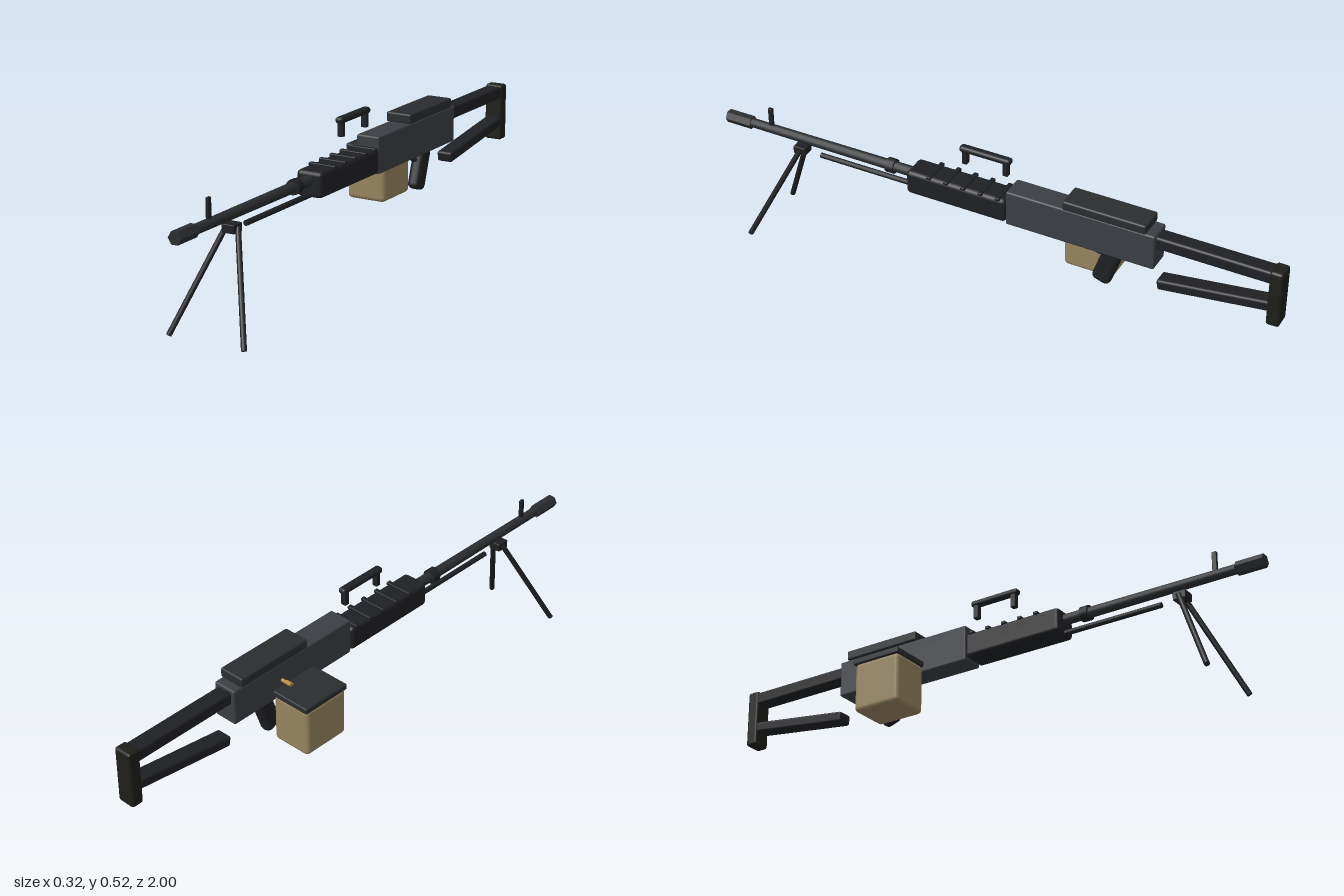
import * as THREE from 'three';
import { RoundedBoxGeometry } from 'three/addons/geometries/RoundedBoxGeometry.js';

const CX = 0.02; // centre line of the main body
const mat = (color) => new THREE.MeshStandardMaterial({ color });
const steel = mat(0x3a3e42), dark = mat(0x1f2023), cover = mat(0x2a2c2f);
const rubber = mat(0x1d1d19), canvas = mat(0x94835f), brass = mat(0xb38a3a);

export function createModel() {
  const model = new THREE.Group();

  const add = (name, geometry, material, x, y, z) => {
    const mesh = new THREE.Mesh(geometry, material);
    mesh.name = name;
    mesh.position.set(x, y, z);
    model.add(mesh);
    return mesh;
  };
  // Rounded box given by its centre x, width, and y and z ranges
  const block = (name, material, x, w, y0, y1, z0, z1, r = 0.006) =>
    add(name, new RoundedBoxGeometry(w, y1 - y0, z1 - z0, 2, r), material,
      x, (y0 + y1) / 2, (z0 + z1) / 2);
  // Straight rod between two points
  const rod = (name, material, a, b, ra, rb = ra, sides = 12) => {
    const from = new THREE.Vector3(...a), to = new THREE.Vector3(...b);
    const dir = to.clone().sub(from);
    const mid = from.clone().add(to).multiplyScalar(0.5);
    const mesh = add(name, new THREE.CylinderGeometry(rb, ra, dir.length(), sides),
      material, mid.x, mid.y, mid.z);
    mesh.quaternion.setFromUnitVectors(new THREE.Vector3(0, 1, 0), dir.normalize());
    return mesh;
  };

  // Main body and feed cover
  block('receiver', steel, CX, 0.083, 0.3, 0.425, -0.585, -0.07);
  block('topCover', cover, CX, 0.092, 0.425, 0.458, -0.555, -0.27);

  // Handguard with cross ribs
  block('handguard', dark, CX, 0.092, 0.305, 0.39, -0.07, 0.29, 0.014);
  for (let i = 0; i < 5; i++) {
    const z = 0.205 - i * 0.062;
    block('handguardRib', dark, CX, 0.098, 0.384, 0.395, z - 0.008, z + 0.008, 0.003);
  }

  // Barrel, collar, muzzle, front sight and gas tube
  rod('barrel', cover, [CX, 0.36, 0.28], [CX, 0.36, 0.92], 0.018, 0.016);
  rod('barrelCollar', dark, [CX, 0.36, 0.353], [CX, 0.36, 0.382], 0.025);
  const muzzle = add('muzzle', new THREE.CylinderGeometry(0.0225, 0.0225, 0.095, 6),
    cover, CX, 0.36, 0.9525);
  muzzle.material = cover.clone();
  muzzle.material.flatShading = true;
  muzzle.rotation.set(Math.PI / 2, Math.PI / 6, 0);
  block('frontSight', dark, CX, 0.011, 0.365, 0.44, 0.822, 0.838, 0.002);
  rod('gasTube', dark, [CX, 0.313, 0.28], [CX, 0.313, 0.64], 0.009);

  // Bipod
  block('bipodMount', dark, CX, 0.044, 0.305, 0.333, 0.69, 0.735, 0.003);
  for (const s of [-1, 1])
    rod('bipodLeg', dark, [CX + s * 0.02, 0.322, 0.71], [CX + s * 0.133, 0.004, 0.856], 0.009);

  // Carrying handle
  block('carryHandle', dark, CX, 0.028, 0.502, 0.523, -0.07, 0.112, 0.009);
  for (const z of [0.094, -0.052])
    block('handlePost', dark, CX, 0.021, 0.458, 0.508, z - 0.009, z + 0.009, 0.003);

  // Skeleton stock
  block('stockUpperBar', dark, CX, 0.056, 0.371, 0.415, -0.97, -0.57, 0.008);
  const strut = block('stockLowerBar', dark, CX, 0.056, 0.243, 0.279, -0.97, -0.59, 0.008);
  strut.rotation.x = 0.135;
  block('buttPlate', rubber, CX, 0.064, 0.22, 0.42, -1, -0.956, 0.009);

  // Pistol grip, trigger and guard
  const grip = block('pistolGrip', dark, CX, 0.044, 0.165, 0.315, -0.447, -0.382, 0.018);
  grip.rotation.x = -0.33;
  const guard = add('triggerGuard', new THREE.TorusGeometry(0.032, 0.005, 8, 20, Math.PI),
    dark, CX, 0.303, -0.385);
  guard.rotation.set(Math.PI, Math.PI / 2, 0);
  block('trigger', dark, CX, 0.008, 0.276, 0.305, -0.389, -0.381, 0.002);

  // Side-hung storage box with lid
  block('sideBox', canvas, -0.088, 0.143, 0.15, 0.322, -0.415, -0.24, 0.015);
  block('sideBoxLid', cover, -0.089, 0.148, 0.318, 0.339, -0.42, -0.238, 0.005);

  // Short run of feed rounds, lying crosswise
  for (let i = 0; i < 5; i++) {
    const t = i / 4;
    const x = -0.03 + 0.046 * t, y = 0.36 - 0.07 * t, z = -0.38 + 0.08 * t;
    rod('feedRound', brass, [x - 0.03 + 0.01 * t, y, z], [x + 0.03 - 0.01 * t, y, z], 0.006);
  }

  return model;
}
